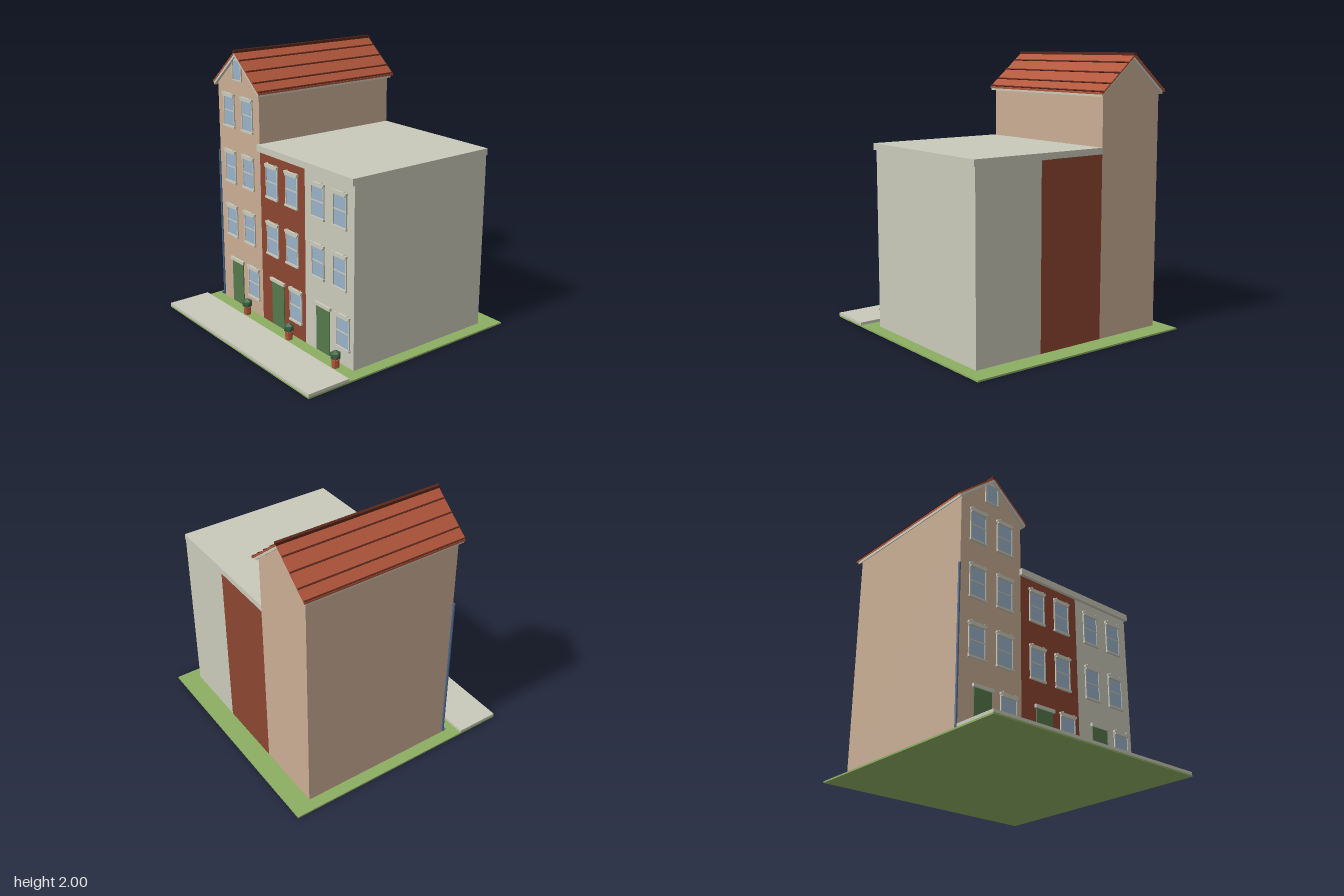
import * as THREE from 'three';

const paint = (name, color) => {
  const m = new THREE.MeshStandardMaterial({ color });
  m.name = name;
  return m;
};

export function createModel() {
  const model = new THREE.Group();
  model.name = 'rowHouses';
  const stone = paint('pale stone', 0xc9c9ba);
  const tan = paint('tan plaster', 0xc9ad94);
  const brick = paint('brick red', 0x8c4630);
  const tile = paint('roof tile', 0xb2563b);
  const seam = paint('dark seam', 0x5a261a);
  const glass = paint('window glass', 0x9ab2c8);
  const doorGreen = paint('door green', 0x55784a);
  const pipeBlue = paint('pipe blue', 0x4b6587);
  const leaf = paint('leaf green', 0x3d633f);
  const grass = paint('grass green', 0x8cae62);

  const add = (parent, name, geo, mat) => {
    const mesh = new THREE.Mesh(geo, mat);
    mesh.name = name;
    parent.add(mesh);
    return mesh;
  };
  // Box given by its limits on each axis
  const block = (parent, name, mat, x0, x1, y0, y1, z0, z1) => {
    const mesh = add(parent, name, new THREE.BoxGeometry(x1 - x0, y1 - y0, z1 - z0), mat);
    mesh.position.set((x0 + x1) / 2, (y0 + y1) / 2, (z0 + z1) / 2);
    return mesh;
  };
  const outline = (pts) => new THREE.Shape(pts.map(([x, y]) => new THREE.Vector2(x, y)));
  // Outline in x,y extruded from z0 to z1
  const slab = (parent, name, mat, shape, z0, z1) => {
    const geo = new THREE.ExtrudeGeometry(shape, { depth: z1 - z0, bevelEnabled: false });
    return add(parent, name, geo.translate(0, 0, z0), mat);
  };

  const BACK = -0.745, FRONT = 0.45, TOWER = -0.537;

  // Ground
  block(model, 'lawn', grass, -0.895, 0.895, 0, 0.012, -0.895, 0.895);
  block(model, 'sidewalk', stone, -0.895, 0.895, 0.012, 0.033, 0.563, 0.895);

  // House bodies
  slab(model, 'tallHouse', tan, outline([
    [-0.805, 0.012], [-0.268, 0.012], [-0.268, 1.73], [TOWER, 1.955], [-0.805, 1.73],
  ]), BACK, FRONT);
  block(model, 'middleHouse', brick, -0.268, 0.268, 0.012, 1.315, BACK, FRONT);
  block(model, 'endHouse', stone, 0.268, 0.8, 0.012, 1.315, BACK, FRONT);
  block(model, 'flatRoof', stone, -0.275, 0.81, 1.312, 1.36, BACK, 0.475);

  // Pitched roof: tiles over a pale lining
  const roof = new THREE.Group();
  roof.name = 'pitchedRoof';
  roof.position.x = TOWER;
  model.add(roof);
  const RIDGE = 1.99, SLOPE = 0.84;
  const chevron = (half, top, thick) => outline([
    [-half, top - half * SLOPE], [-half, top - half * SLOPE - thick], [0, top - thick],
    [half, top - half * SLOPE - thick], [half, top - half * SLOPE], [0, top],
  ]);
  slab(roof, 'roofTiles', tile, chevron(0.303, RIDGE, 0.014), -0.775, 0.475);
  slab(roof, 'roofLining', stone, chevron(0.295, RIDGE - 0.014, 0.022), -0.76, 0.472);
  for (const side of [-1, 1]) {
    for (const d of [0.07, 0.152, 0.235, 0.299]) {
      const rib = add(roof, 'roofSeam', new THREE.BoxGeometry(0.01, 0.008, 1.25), seam);
      rib.position.set(side * d, RIDGE - d * SLOPE + 0.003, -0.15);
      rib.rotation.z = -side * Math.atan(SLOPE);
    }
  }
  block(roof, 'ridgeCap', seam, -0.012, 0.012, 1.98, 2, -0.778, 0.478);

  // Sash window standing on its sill
  const addWindow = (x, y) => {
    const w = new THREE.Group();
    w.name = 'window';
    w.position.set(x, y, FRONT);
    model.add(w);
    block(w, 'pane', glass, -0.064, 0.064, 0.01, 0.24, 0, 0.004);
    for (const s of [-1, 1]) block(w, 'jamb', stone, s * 0.067 - 0.004, s * 0.067 + 0.004, 0.01, 0.24, 0, 0.009);
    block(w, 'sashRail', stone, -0.064, 0.064, 0.122, 0.13, 0, 0.008);
    block(w, 'sill', stone, -0.074, 0.074, 0, 0.015, 0, 0.016);
    slab(w, 'windowHead', stone, outline([
      [-0.067, 0.228], [0.067, 0.228], [0.067, 0.24], [0.076, 0.24], [0.076, 0.256],
      [0.058, 0.256], [0.053, 0.265], [0.044, 0.256], [-0.044, 0.256], [-0.053, 0.265],
      [-0.058, 0.256], [-0.076, 0.256], [-0.076, 0.24], [-0.067, 0.24],
    ]), 0, 0.018);
  };

  // Potted shrub
  const addPlanter = (x) => {
    const p = new THREE.Group();
    p.name = 'planter';
    p.position.set(x, 0, 0.535);
    model.add(p);
    const pot = add(p, 'pot', new THREE.CylinderGeometry(0.029, 0.026, 0.06, 8).toNonIndexed(), tile);
    pot.geometry.computeVertexNormals();
    pot.position.y = 0.063;
    const bush = add(p, 'shrub', new THREE.IcosahedronGeometry(0.041, 0), leaf);
    bush.rotation.z = -0.5536;
    bush.position.y = 0.121;
  };

  // Fronts repeat across the three houses
  [-0.537, 0, 0.535].forEach((cx, i) => {
    const floors = i === 0 ? [0.555, 0.985, 1.415] : [0.555, 0.985];
    for (const y of floors) for (const s of [-1, 1]) addWindow(cx + s * 0.119, y);
    addWindow(cx + 0.155, 0.13);
    block(model, 'door', doorGreen, cx - 0.137, cx + 0.01, 0.02, 0.36, FRONT, 0.457);
    block(model, 'doorHead', stone, cx - 0.151, cx + 0.024, 0.36, 0.384, FRONT, 0.468);
    addPlanter(cx + 0.177);
  });

  // Attic window with a clipped top
  const attic = outline([
    [-0.06, 1.775], [0.06, 1.775], [0.06, 1.918], [0.022, 1.95], [-0.022, 1.95], [-0.06, 1.918],
  ]);
  attic.holes.push(outline([[-0.049, 1.784], [0.049, 1.784], [0.049, 1.922], [-0.049, 1.922]]));
  slab(model, 'atticFrame', stone, attic, FRONT, 0.46).position.x = TOWER;
  block(model, 'atticPane', glass, TOWER - 0.05, TOWER + 0.05, 1.78, 1.924, FRONT, 0.454);

  // Drainpipe at the corner with a small foot
  const pipe = add(model, 'drainpipe', new THREE.CylinderGeometry(0.009, 0.009, 1.175, 10), pipeBlue);
  pipe.position.set(-0.812, 0.622, 0.452);
  const foot = add(model, 'drainpipeFoot', new THREE.CylinderGeometry(0.009, 0.009, 0.03, 10), pipeBlue);
  foot.position.set(-0.812, 0.037, 0.462);
  foot.rotation.x = Math.PI / 3;

  return model;
}
